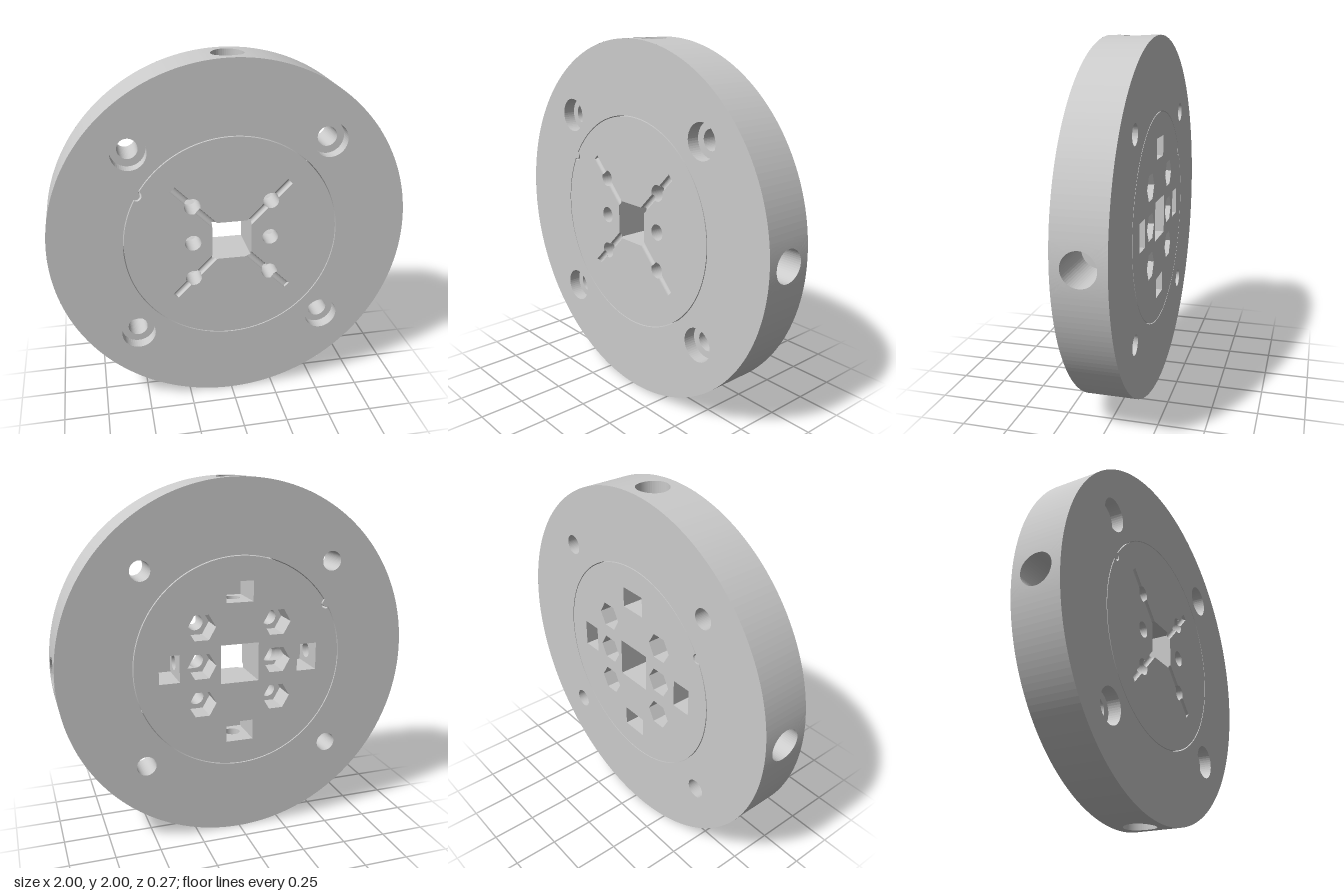
import * as THREE from 'three';

const H = 0.137;                       // half thickness
const S = 0.11;                        // half side of the centre square
const P = 0.217;                       // pitch of the small screw holes
const R = 0.045;                       // small screw hole radius
const G = 0.019;                       // groove radius
const HEX = 0.081;                     // hex pocket corner radius
const HEAD = 0.088;                    // radial bore radius at the rim
const FLOOR = 0.08;                    // floor of the rectangular pockets
const POCKET = { x0: 0.3425, x1: 0.4575, h: 0.078 };
const GROOVE_END = 0.455;
const PI = Math.PI;

const material = new THREE.MeshStandardMaterial({
  color: 0xcccccc, flatShading: true, side: THREE.DoubleSide,
});
const v2 = (x, y) => new THREE.Vector2(x, y);
const v3 = (x, y, z) => new THREE.Vector3(x, y, z);
const steps = (n, f) => Array.from({ length: n }, (_, i) => f(i));

function add(parent, name, geometry) {
  const mesh = new THREE.Mesh(geometry, material);
  mesh.name = name;
  parent.add(mesh);
  return mesh;
}

// Band of quads joining two equally long rows of points
function strip(parent, name, a, b, { flip = false, closed = true } = {}) {
  const pos = [];
  const n = a.length;
  for (let i = 0; i < (closed ? n : n - 1); i++) {
    const j = (i + 1) % n;
    const quad = flip ? [a[i], b[j], a[j], a[i], b[i], b[j]] : [a[i], a[j], b[j], a[i], b[j], b[i]];
    quad.forEach((p) => pos.push(p.x, p.y, p.z));
  }
  const g = new THREE.BufferGeometry();
  g.setAttribute('position', new THREE.Float32BufferAttribute(pos, 3));
  g.computeVertexNormals();
  return add(parent, name, g);
}

// Wall along z under an outline; the end heights may depend on the point
function wall(parent, name, pts, z0, z1, inward = true) {
  const at = (z) => pts.map((p) => v3(p.x, p.y, typeof z === 'function' ? z(p.x, p.y) : z));
  return strip(parent, name, at(z0), at(z1), { flip: inward });
}

// Flat face with holes, facing +z or (back) -z
function cap(parent, name, outline, holes, z, back = false) {
  const shape = new THREE.Shape(outline);
  shape.holes = holes.map((h) => new THREE.Path(h));
  const g = new THREE.ShapeGeometry(shape);
  if (back) {
    const ix = g.index.array;
    for (let i = 0; i < ix.length; i += 3) [ix[i], ix[i + 1]] = [ix[i + 1], ix[i]];
    g.computeVertexNormals();
  }
  g.translate(0, 0, z);
  return add(parent, name, g);
}

const circle = (r, x = 0, y = 0, n = 48) =>
  steps(n, (i) => v2(x + r * Math.cos((2 * PI * i) / n), y + r * Math.sin((2 * PI * i) / n)));
const hexagon = (x = 0, y = 0) => circle(HEX, x, y, 6);
const rect = (x0, y0, x1, y1) => [v2(x0, y0), v2(x1, y0), v2(x1, y1), v2(x0, y1)];
const subdivide = (pts, n) =>
  pts.flatMap((p, i) => steps(n, (k) => p.clone().lerp(pts[(i + 1) % pts.length], k / n)));

// Circle with a small round key dent
function keyedCircle(r, q) {
  const mid = (149.5 * PI) / 180;
  const half = 2 * Math.asin(q / 2 / r);
  const arc = steps(161, (i) => {
    const a = mid + half + ((2 * PI - 2 * half) * i) / 160;
    return v2(r * Math.cos(a), r * Math.sin(a));
  });
  const dent = steps(11, (i) => {
    const a = mid - PI / 2 - (PI * (i + 1)) / 12;
    return v2(r * Math.cos(mid) + q * Math.cos(a), r * Math.sin(mid) + q * Math.sin(a));
  });
  return [...arc, ...dent];
}

// Front height, lowered where a diagonal groove passes
function frontZ(x, y) {
  const w = (Math.abs(x) - Math.abs(y)) / Math.SQRT2;
  return Math.abs(w) < G ? H - Math.sqrt(G * G - w * w) : H;
}

// Outline of the centre square joined with grooves and corner screw holes
function crossOutline() {
  const d0 = S * Math.SQRT2 - G, c = P * Math.SQRT2, t = Math.asin(G / R);
  const arc = (from, to) => steps(17, (i) => {
    const a = from + ((to - from) * i) / 16;
    return v2(c + R * Math.cos(a), R * Math.sin(a));
  });
  const arm = [v2(d0, -G), ...arc(PI + t, 2 * PI - t), v2(GROOVE_END, -G),
    v2(GROOVE_END, G), ...arc(t, PI - t), v2(d0, G)];
  return steps(4, (k) => arm.map((p) => p.clone().rotateAround(v2(0, 0), PI / 4 + (k * PI) / 2))).flat();
}

// One radial bore along +x with its rim patch and rectangular pocket
function radialBore(parent, blind) {
  const n = 48;
  const loop = (r, f) => steps(n, (i) => {
    const y = r * Math.cos((2 * PI * i) / n), z = r * Math.sin((2 * PI * i) / n);
    return v3(f(y, z), y, z);
  });
  const tube = (name, r, f0, f1) => strip(parent, name, loop(r, f0), loop(r, f1));
  const ledge = 0.7;
  tube('screwHeadBore', HEAD, (y) => Math.sqrt(1 - y * y), () => ledge);
  strip(parent, 'screwHeadLedge', loop(HEAD, () => ledge), loop(R, () => ledge));
  tube('outerRadialBore', R, () => ledge, () => POCKET.x1);
  const hexEnd = (y, z) => (z < -1e-6 ? P + HEX - Math.abs(y) / Math.sqrt(3) : P + Math.abs(z));
  tube('innerRadialBore', R, () => POCKET.x0, blind ? () => 0.2 : hexEnd);
  if (blind) strip(parent, 'boreEnd', loop(R, () => 0.2), loop(0.0001, () => 0.2));

  // Rim surface blending from the round bore to a square patch
  const patch = (t) => steps(n, (i) => {
    const c = Math.cos((2 * PI * i) / n), s = Math.sin((2 * PI * i) / n);
    const m = H / Math.max(Math.abs(c), Math.abs(s));
    const a = THREE.MathUtils.lerp(Math.asin(HEAD * c), m * c, t);
    return v3(Math.cos(a), Math.sin(a), THREE.MathUtils.lerp(HEAD * s, m * s, t));
  });
  for (let k = 0; k < 4; k++) strip(parent, 'rimPatch', patch(k / 4), patch((k + 1) / 4), { flip: true });
  const rim = (z) => steps(41, (i) => {
    const a = H + ((PI / 2 - 2 * H) * i) / 40;
    return v3(Math.cos(a), Math.sin(a), z);
  });
  strip(parent, 'rim', rim(-H), rim(H), { closed: false });

  // Nut pocket open to the back, pierced by the bore
  const { x0, x1, h } = POCKET;
  for (const x of [x0, x1]) {
    const side = cap(parent, 'pocketEndWall', rect(-h, -H, h, FLOOR), [circle(R)], 0, x === x1);
    side.geometry.applyMatrix4(new THREE.Matrix4().makeBasis(v3(0, 1, 0), v3(0, 0, 1), v3(1, 0, 0)));
    side.position.x = x;
  }
  for (const y of [-h, h]) {
    strip(parent, 'pocketSideWall', [v3(x0, y, -H), v3(x1, y, -H)], [v3(x0, y, FLOOR), v3(x1, y, FLOOR)],
      { closed: false, flip: y < 0 ? true : false });
  }
  cap(parent, 'pocketFloor', rect(x0, -h, x1, h), [], FLOOR, true);
}

// Groove along the local x axis, interrupted by its screw hole
function groove(parent) {
  const c = P * Math.SQRT2;
  const row = (f) => steps(13, (i) => {
    const w = G * Math.cos((PI * i) / 12);
    return v3(f(w), w, H - G * Math.sin((PI * i) / 12));
  });
  const bulge = (w) => Math.sqrt(R * R - w * w);
  const open = { closed: false };
  const end = row(() => GROOVE_END);
  strip(parent, 'innerGroove', row((w) => S * Math.SQRT2 - Math.abs(w)), row((w) => c - bulge(w)), open);
  strip(parent, 'outerGroove', row((w) => c + bulge(w)), end, open);
  strip(parent, 'grooveEnd', end, end.map((p) => v3(p.x, p.y, H)), open);
}

export function createModel() {
  const model = new THREE.Group();
  model.name = 'flangeDisc';
  model.position.y = 1;
  const section = (name, angle = 0) => {
    const g = new THREE.Group();
    g.name = name;
    g.rotation.z = angle;
    model.add(g);
    return g;
  };
  const signs = [-1, 1];
  const corners = signs.flatMap((x) => signs.map((y) => [x, y]));

  // Outer ring with four counterbored mounting holes
  const ring = section('outerRing');
  const ringInner = keyedCircle(0.598, 0.023);
  const mounts = (r) => corners.map(([x, y]) => circle(r, 0.54 * x, 0.54 * y));
  cap(ring, 'ringFront', circle(1, 0, 0, 192), [ringInner, ...mounts(0.095)], H);
  cap(ring, 'ringBack', circle(1, 0, 0, 192), [ringInner, ...mounts(0.055)], -H, true);
  wall(ring, 'ringInnerWall', ringInner, -H, H);
  const step = H - 0.07;
  mounts(0.095).forEach((big, i) => {
    const small = mounts(0.055)[i];
    wall(ring, 'counterboreWall', big, step, H);
    cap(ring, 'counterboreLedge', big, [small], step);
    wall(ring, 'mountingHole', small, -H, step);
  });

  // Inner disc faces
  const disc = section('innerDisc');
  const edge = keyedCircle(0.593, 0.028);
  const square = rect(-S, -S, S, S);
  const hexes = signs.flatMap((x) => [-1, 0, 1].map((y) => hexagon(P * x, P * y)));
  const { x0, x1, h } = POCKET;
  const pockets = [rect(x0, -h, x1, h), rect(-x1, -h, -x0, h), rect(-h, x0, h, x1), rect(-h, -x1, h, -x0)];
  cap(disc, 'discFront', edge, [crossOutline(), circle(R, P, 0), circle(R, -P, 0)], H);
  cap(disc, 'discBack', edge, [square, ...hexes, ...pockets], -H, true);
  wall(disc, 'discEdge', edge, -H, H, false);
  wall(disc, 'centreSquareWall', subdivide(square, 80), -H, frontZ);

  // Corner screw holes with hex pockets behind
  for (const [x, y] of corners) {
    const hex = hexagon(P * x, P * y), hole = circle(R, P * x, P * y);
    wall(disc, 'hexPocketWall', hex, -H, 0);
    cap(disc, 'hexPocketFloor', hex, [hole], 0, true);
    wall(disc, 'screwHole', hole, 0, frontZ);
  }

  // Middle screw holes, cut into by the side bores
  for (const angle of [0, PI]) {
    const mid = section('middleScrewHole', angle);
    const cut = (x, y) => (x > P + 0.03 && Math.abs(y) < R ? -Math.sqrt(R * R - y * y) : 0);
    wall(mid, 'hexPocketWall', subdivide(hexagon(P, 0), 16), -H, cut);
    wall(mid, 'screwHole', circle(R, P, 0),
      (x, y) => (x > P ? Math.sqrt(Math.max(0, R * R - y * y)) : 0), H);
    const xe = P + HEX - R / Math.sqrt(3);
    const arc = steps(25, (i) => {
      const a = -PI / 2 - (PI * i) / 24;
      return v2(P + R * Math.cos(a), R * Math.sin(a));
    });
    cap(mid, 'hexPocketFloor', [v2(xe, R), ...hexagon(P, 0).slice(1), v2(xe, -R), ...arc], [], 0, true);
  }

  for (let k = 0; k < 4; k++) {
    radialBore(section('radialBore', (k * PI) / 2), k % 2 === 1);
    groove(section('diagonalGroove', PI / 4 + (k * PI) / 2));
  }

  const root = new THREE.Group();
  root.name = 'model';
  root.add(model);
  return root;
}
